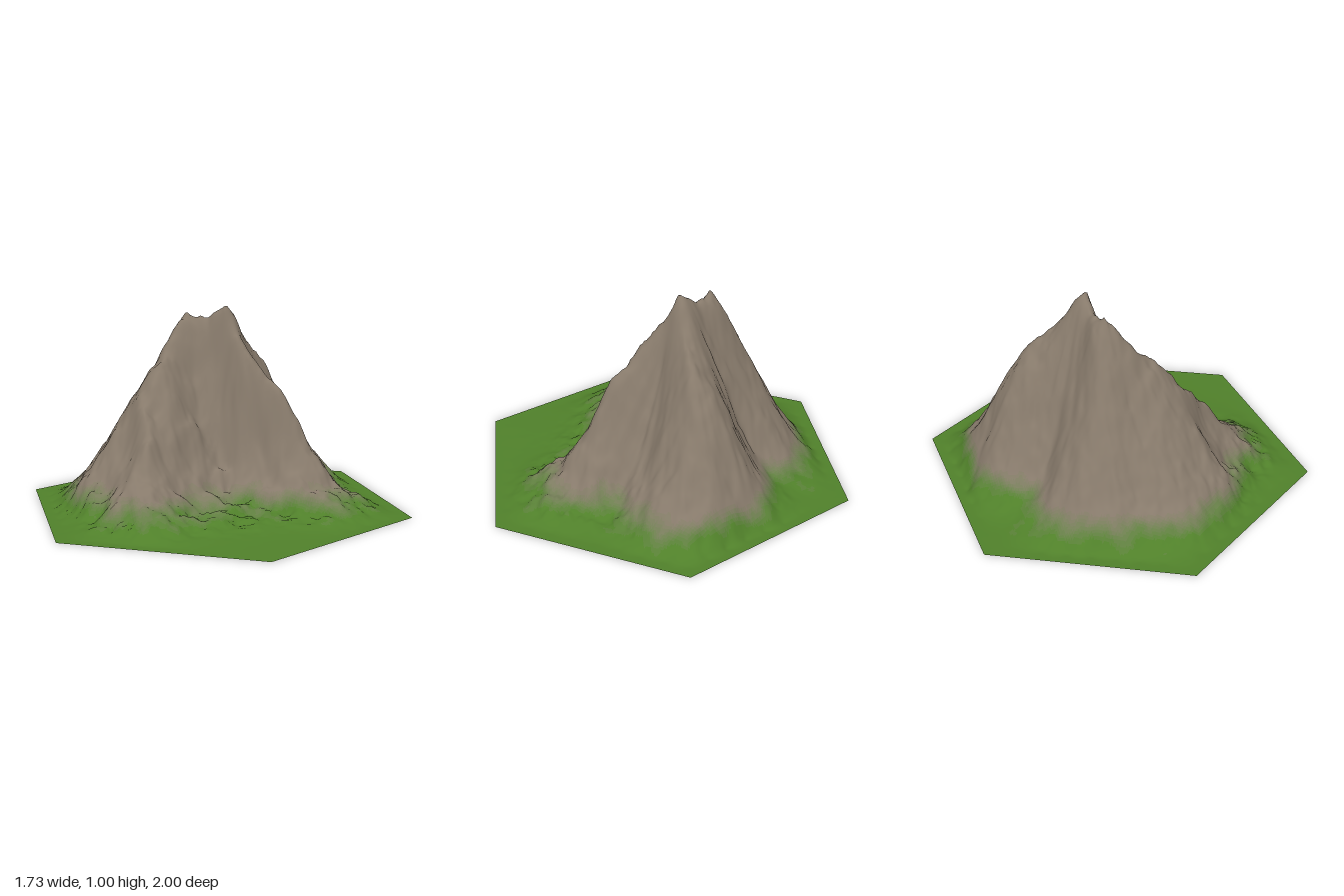
import * as THREE from 'three';

const N = 84; // grid steps from centre to corner of the hexagon
const SUMMIT = [0.08, -0.12];

// Ridge crests and spurs, as [x, height, z]
const RIDGES = [
  // summit crest
  [[-0.1, 0.945, -0.21], [-0.03, 0.95, -0.19], [0.03, 0.955, -0.15], [0.08, 1.0, -0.12], [0.13, 0.95, -0.15]],
  // front left
  [[-0.15, 0.89, -0.19], [-0.21, 0.82, -0.14], [-0.3, 0.66, -0.02], [-0.37, 0.49, 0.12], [-0.4, 0.31, 0.27], [-0.5, 0.07, 0.52]],
  // front left inner spurs
  [[-0.3, 0.66, -0.02], [-0.2, 0.55, 0.03], [-0.11, 0.34, 0.11]],
  [[-0.36, 0.52, 0.08], [-0.25, 0.43, 0.12], [-0.19, 0.29, 0.16]],
  // left
  [[-0.22, 0.81, -0.17], [-0.3, 0.67, -0.15], [-0.4, 0.55, -0.1], [-0.51, 0.37, -0.05], [-0.62, 0.21, 0], [-0.72, 0.07, 0.02]],
  // front right
  [[0.12, 0.85, -0.04], [0.18, 0.73, 0.05], [0.29, 0.57, 0.15], [0.37, 0.43, 0.2], [0.41, 0.29, 0.26], [0.5, 0.17, 0.33], [0.58, 0.08, 0.42]],
  // back right
  [[0.2, 0.84, -0.21], [0.31, 0.71, -0.31], [0.38, 0.57, -0.38], [0.47, 0.34, -0.44], [0.59, 0.14, -0.47], [0.72, 0.045, -0.43]],
  // back, left lobe
  [[-0.1, 0.945, -0.21], [-0.13, 0.82, -0.29], [-0.19, 0.59, -0.4], [-0.24, 0.38, -0.5], [-0.28, 0.17, -0.6], [-0.3, 0.06, -0.7]],
  // back, right lobe
  [[0.2, 0.84, -0.21], [0.24, 0.6, -0.39], [0.29, 0.38, -0.5], [0.32, 0.17, -0.6], [0.34, 0.05, -0.7]],
];

// Valley floors and wall lines
const VALLEYS = [
  // front wall and floor
  [[0.02, 0.75, -0.1], [0.03, 0.48, -0.01], [0.03, 0.23, 0.09], [0.02, 0.12, 0.18], [0, 0.06, 0.4], [0, 0.015, 0.62]],
  [[-0.09, 0.66, -0.1], [-0.09, 0.42, -0.01]],
  [[-0.25, 0.19, 0.24], [-0.24, 0.07, 0.4]],
  [[0.19, 0.35, 0.14], [0.22, 0.16, 0.26], [0.28, 0.07, 0.4]],
  // right
  [[0.2, 0.67, -0.09], [0.34, 0.35, -0.05], [0.46, 0.17, 0], [0.57, 0.08, 0.05], [0.72, 0.02, 0.08]],
  // back
  [[0.04, 0.82, -0.24], [0.04, 0.51, -0.37], [0.04, 0.25, -0.48], [0.05, 0.09, -0.59], [0.05, 0.02, -0.74]],
  // back left
  [[-0.28, 0.58, -0.26], [-0.41, 0.34, -0.33], [-0.52, 0.15, -0.4], [-0.61, 0.05, -0.46]],
  // left, below the front left ridge
  [[-0.47, 0.29, 0.12], [-0.56, 0.14, 0.21], [-0.65, 0.05, 0.28]],
];

// Hexagon corner directions (points along z)
const corner = k => [Math.sin(k * Math.PI / 3), Math.cos(k * Math.PI / 3)];
const smooth = THREE.MathUtils.smoothstep;

// Seeded smooth value noise, -1..1
function hash(i, j) {
  let h = Math.imul(i, 374761393) + Math.imul(j, 668265263) + 977;
  h = Math.imul(h ^ (h >>> 13), 1274126177);
  return ((h ^ (h >>> 16)) >>> 0) / 2147483648 - 1;
}
function noise(x, y) {
  const i = Math.floor(x), j = Math.floor(y);
  const u = smooth(x - i, 0, 1), v = smooth(y - j, 0, 1);
  const lerp = THREE.MathUtils.lerp;
  return lerp(lerp(hash(i, j), hash(i + 1, j), u), lerp(hash(i, j + 1), hash(i + 1, j + 1), u), v);
}
const fbm = (x, y) => noise(x, y) * 0.55 + noise(x * 2.1 + 7, y * 2.1) * 0.3 + noise(x * 4.3, y * 4.3 + 3) * 0.15;

// Control points: densified guide lines plus level rings around the rim
function controlPoints() {
  const pts = [];
  const add = (x, h, z) => {
    if (pts.every(p => Math.hypot(p[0] - x, p[2] - z) > 0.028)) pts.push([x, h, z]);
  };
  const lines = [...RIDGES, ...VALLEYS];
  lines.flat().forEach(p => add(...p));
  for (const line of lines) {
    for (let i = 0; i + 1 < line.length; i++) {
      for (const t of [0.33, 0.67]) add(...line[i].map((a, k) => a + (line[i + 1][k] - a) * t));
    }
  }
  for (const s of [1, 0.93]) {
    for (let k = 0; k < 6; k++) {
      const a = corner(k), b = corner(k + 1);
      for (let t = 0; t < 1; t += 0.125) add(s * (a[0] + (b[0] - a[0]) * t), 0, s * (a[1] + (b[1] - a[1]) * t));
    }
  }
  return pts;
}

// Radial basis surface through the control points
function fitSurface(pts) {
  const n = pts.length;
  const m = pts.map(p => [...pts.map(q => Math.hypot(p[0] - q[0], p[2] - q[2])), p[1]]);
  for (let c = 0; c < n; c++) {
    let best = c;
    for (let r = c + 1; r < n; r++) if (Math.abs(m[r][c]) > Math.abs(m[best][c])) best = r;
    [m[c], m[best]] = [m[best], m[c]];
    for (let r = c + 1; r < n; r++) {
      const f = m[r][c] / m[c][c];
      for (let k = c; k <= n; k++) m[r][k] -= f * m[c][k];
    }
  }
  const w = new Array(n).fill(0);
  for (let r = n - 1; r >= 0; r--) {
    let s = m[r][n];
    for (let k = r + 1; k < n; k++) s -= m[r][k] * w[k];
    w[r] = s / m[r][r];
  }
  return (x, z) => pts.reduce((s, p, i) => s + w[i] * Math.hypot(x - p[0], z - p[2]), 0);
}

function makeHeight() {
  const surface = fitSurface(controlPoints());
  return (x, z, edge) => {
    // slight warp so the crests wander
    const wx = x + 0.012 * fbm(x * 9, z * 9), wz = z + 0.012 * fbm(x * 9 + 40, z * 9);
    let h = Math.max(0, surface(wx, wz));
    // gullies running down the slopes, and rough rock
    const dx = x - SUMMIT[0], dz = z - SUMMIT[1], r = Math.hypot(dx, dz) + 1e-6;
    const rock = smooth(h, 0.04, 0.25) * smooth(r, 0.02, 0.2);
    h += rock * (0.022 * fbm(dx / r * 6 + r * 2, dz / r * 6 + 20) + 0.028 * fbm(x * 12, z * 12));
    // lumpy foothills, strongest at the front
    const hills = smooth(h, 0.004, 0.06) * (1 - smooth(h, 0.12, 0.28)) * (0.3 + 0.7 * smooth(z, -0.3, 0.1));
    h += hills * 0.045 * fbm(x * 12 + 5, z * 14);
    return Math.max(0, h) * (1 - smooth(edge, 0.9, 0.99));
  };
}

export function createModel() {
  const group = new THREE.Group();
  group.name = 'mountain';
  const height = makeHeight();

  // Triangular grid filling the hexagon
  const position = [], ids = new Map(), key = (q, r) => q * 1000 + r;
  const ring = (q, r) => Math.max(Math.abs(q), Math.abs(r), Math.abs(q + r));
  for (let q = -N; q <= N; q++) {
    for (let r = -N; r <= N; r++) {
      if (ring(q, r) > N) continue;
      const x = q / N * Math.sqrt(3) / 2, z = (q / 2 + r) / N;
      ids.set(key(q, r), position.length / 3);
      position.push(x, height(x, z, ring(q, r) / N), z);
    }
  }
  const index = [];
  const tri = (...c) => {
    if (c.every(p => ring(...p) <= N)) index.push(...c.map(p => ids.get(key(...p))));
  };
  for (let q = -N; q <= N; q++) {
    for (let r = -N; r <= N; r++) {
      tri([q, r], [q, r + 1], [q + 1, r]);
      tri([q + 1, r], [q, r + 1], [q + 1, r + 1]);
    }
  }
  const terrain = new THREE.BufferGeometry();
  terrain.setAttribute('position', new THREE.Float32BufferAttribute(position, 3));
  terrain.setIndex(index);
  terrain.computeVertexNormals();

  // Sort the faces into tones, from grass at the foot to bare rock
  const TONES = 10, bands = Array.from({ length: TONES }, () => []);
  for (let i = 0; i < index.length; i += 3) {
    const f = index.slice(i, i + 3);
    const [x, y, z] = [0, 1, 2].map(k => f.reduce((s, v) => s + position[v * 3 + k], 0) / 3);
    const t = smooth(y + 0.05 * fbm(x * 10, z * 10), 0.025, 0.16);
    bands[Math.round(t * (TONES - 1))].push(...f);
  }
  const grass = new THREE.Color(0x50802a), stone = new THREE.Color(0x877a6b);
  bands.forEach((faces, i) => {
    const geometry = new THREE.BufferGeometry();
    geometry.setAttribute('position', terrain.attributes.position);
    geometry.setAttribute('normal', terrain.attributes.normal);
    geometry.setIndex(faces);
    const color = grass.clone().lerp(stone, i / (TONES - 1));
    const mesh = new THREE.Mesh(geometry, new THREE.MeshStandardMaterial({ color, side: THREE.DoubleSide }));
    mesh.name = i === 0 ? 'grass' : i === TONES - 1 ? 'rock' : `grassyRock${i}`;
    group.add(mesh);
  });
  return group;
}
